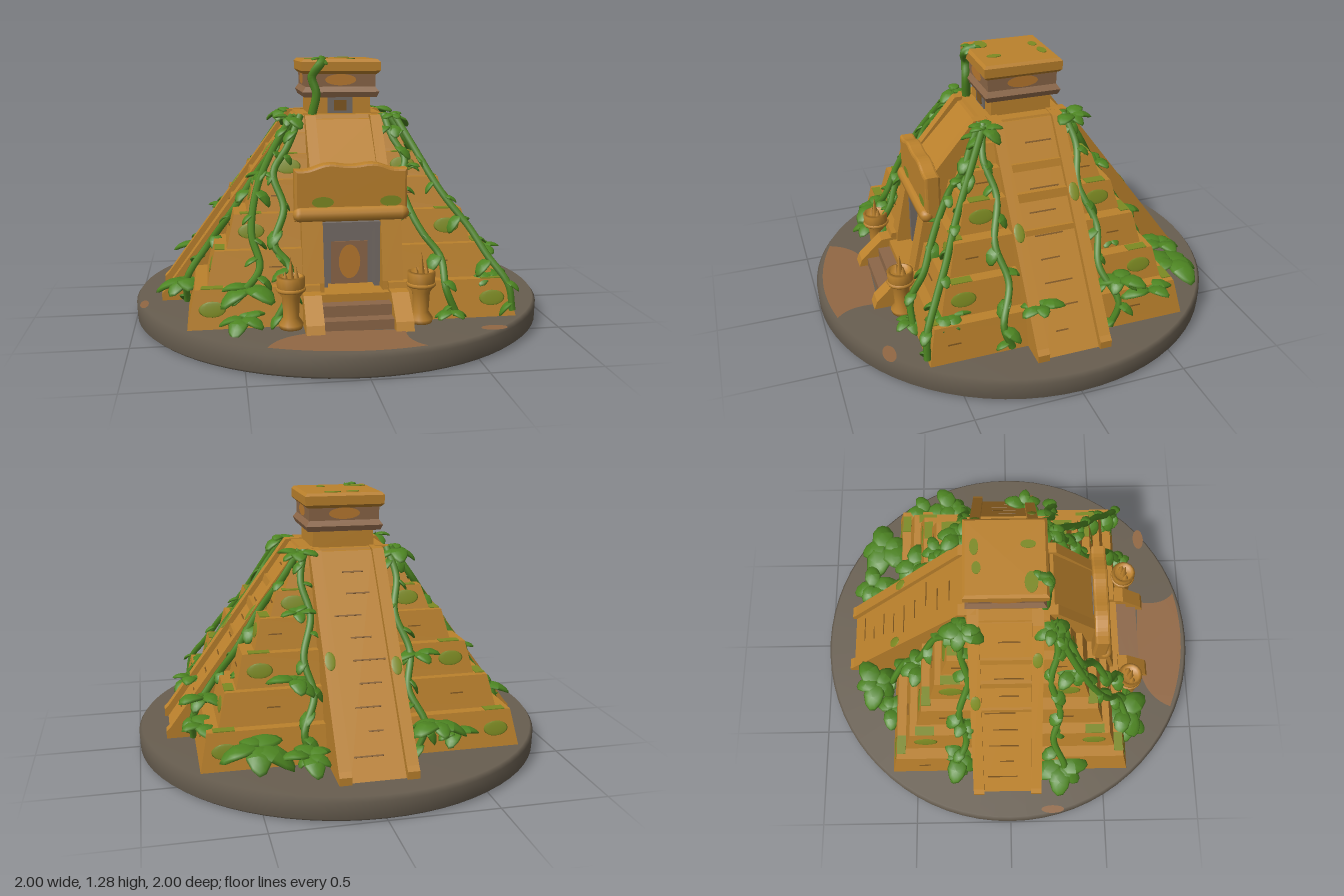
import * as THREE from 'three';

const mat = (name, color, extra = {}) => {
  const m = new THREE.MeshStandardMaterial({ color, ...extra });
  m.name = name;
  return m;
};

export function createModel() {
  const model = new THREE.Group();
  model.name = 'overgrownPyramid';
  const sand = mat('sandstone', 0xbb812c);
  const joint = mat('darkJoint', 0x80571f);
  const ground = mat('groundStone', 0x685e50);
  const clay = mat('clayPath', 0x926844, { side: THREE.DoubleSide });
  const band = mat('mauveStone', 0x8c6748);
  const grey = mat('doorStone', 0x756c66);
  const glow = mat('ochre', 0xb9792f);
  const green = mat('leaf', 0x4d8522);
  const moss = mat('moss', 0x7c8a22);

  const add = (name, geo, m, x = 0, y = 0, z = 0, parent = model) => {
    const mesh = new THREE.Mesh(geo, m);
    mesh.name = name;
    mesh.position.set(x, y, z);
    parent.add(mesh);
    return mesh;
  };
  const box = (name, w, h, d, m, x, y, z, parent) => add(name, new THREE.BoxGeometry(w, h, d), m, x, y, z, parent);
  const poly = pts => new THREE.Shape(pts.map(p => new THREE.Vector2(p[0], p[1])));
  // side profile [outward, up] swept across a width, centred
  const sweep = (pts, width) =>
    new THREE.ExtrudeGeometry(poly(pts), { depth: width, bevelEnabled: false }).translate(0, 0, -width / 2);
  let seed = 7;
  const rnd = () => (seed = (seed * 16807) % 2147483647) / 2147483647;

  // round ground plate with softened rims, a worn path and stains
  const rim = [[0, 0], [0.98, 0], [0.998, 0.015], [1, 0.09], [0.985, 0.11], [0, 0.11]];
  add('groundPlate', new THREE.LatheGeometry(rim.map(p => new THREE.Vector2(...p)), 72), ground);
  const path = new THREE.Shape();
  path.moveTo(-0.41, -0.88);
  path.bezierCurveTo(-0.36, -0.76, -0.25, -0.72, -0.1, -0.72);
  path.lineTo(0.2, -0.74);
  path.quadraticCurveTo(0.17, -0.88, 0.25, -0.945);
  path.quadraticCurveTo(-0.08, -1.02, -0.41, -0.88);
  add('path', new THREE.ShapeGeometry(path).rotateX(-Math.PI / 2), clay, 0, 0.113, 0);
  for (const [x, z, w, d] of [[0.59, 0.77, 0.06, 0.03], [-0.95, 0.22, 0.02, 0.06]])
    add('groundStain', new THREE.CircleGeometry(1, 16).rotateX(-Math.PI / 2).scale(w, 1, d), clay, x, 0.113, z);

  // tapered tiers, notched at the front for the doorway
  const levels = [0.11, 0.28, 0.43, 0.58, 0.72, 0.83, 0.92, 1.0];
  const halfX = [0.73, 0.64, 0.55, 0.455, 0.37, 0.29, 0.23];
  const halfZ = [0.61, 0.53, 0.46, 0.385, 0.32, 0.26, 0.215];
  halfX.forEach((hx, i) => {
    const hz = halfZ[i], h = levels[i + 1] - levels[i], n = 0.16, nz = 0.42;
    const front = hz > nz ? [[-hx, -hz], [-n, -hz], [-n, -nz], [n, -nz], [n, -hz], [hx, -hz]] : [[-hx, -hz], [hx, -hz]];
    const geo = new THREE.ExtrudeGeometry(poly([...front, [hx, hz], [-hx, hz]]), { depth: h, bevelEnabled: false });
    geo.rotateX(-Math.PI / 2);
    const p = geo.attributes.position;
    for (let k = 0; k < p.count; k++) {
      const d = p.getY(k) > h / 2 ? -0.025 : 0.01;
      p.setX(k, p.getX(k) * (1 + d / hx));
      p.setZ(k, p.getZ(k) * (1 + d / hz));
    }
    geo.computeVertexNormals();
    add('tier', geo, sand, 0, levels[i], 0);
  });

  // worn, almost smooth stairways with raised rails on both sides and the back
  const slope = [[0.15, 0.11], [0.853, 0.11], [0.215, 0.99], [0.15, 0.99]];
  const rail = [[0.15, 0.11], [0.87, 0.11], [0.87, 0.145], [0.85, 0.165], [0.235, 1.0], [0.15, 1.005]];
  for (const [angle, z] of [[0, -0.015], [Math.PI, -0.015], [Math.PI / 2, 0]]) {
    const stair = new THREE.Group();
    stair.name = 'stairway';
    stair.rotation.y = angle;
    stair.position.z = z;
    add('stairSlope', sweep(slope, 0.25), sand, 0, 0, 0, stair);
    for (let i = 1; i < 10; i++) {
      const t = i / 10;
      const line = box('stepLine', 0.004, 0.007, 0.06 + rnd() * 0.1, joint, 0.853 - 0.638 * t, 0.11 + 0.88 * t, (rnd() - 0.5) * 0.08, stair);
      line.rotation.z = Math.atan2(0.638, 0.88);
    }
    for (const s of [-1, 1]) {
      add('stairRail', sweep(rail, 0.055), sand, 0, 0, s * 0.15, stair);
      const t = 0.2 + rnd() * 0.65;
      const patch = add('railMoss', new THREE.SphereGeometry(1, 10, 6).scale(0.005, 0.045, 0.026), moss,
        0.85 - 0.615 * t, 0.165 + 0.835 * t, s * 0.15, stair);
      patch.rotation.z = Math.atan2(0.615, 0.835);
    }
    model.add(stair);
  }

  // entrance: ramp above, pillars, wavy lintel and recessed door
  const front = new THREE.Group();
  front.name = 'entrance';
  model.add(front);
  const profile = (name, pts, w, m, x) => {
    const mesh = add(name, sweep(pts, w), m, x, 0, 0, front);
    mesh.rotation.y = -Math.PI / 2;
  };
  profile('upperRamp', [[0.1, 0.11], [0.42, 0.11], [0.42, 0.76], [0.215, 0.98], [0.1, 0.99]], 0.3, sand, 0);
  for (const s of [-1, 1]) {
    profile('rampRail', [[0.1, 0.11], [0.44, 0.11], [0.44, 0.75], [0.23, 1.0], [0.1, 1.0]], 0.05, sand, s * 0.155);
    profile('pillar', [[0.36, 0.11], [0.57, 0.11], [0.56, 0.28], [0.5, 0.56], [0.36, 0.56]], 0.095, sand, s * 0.18);
    profile('stepCheek', [[0.5, 0.11], [0.765, 0.11], [0.75, 0.15], [0.64, 0.25], [0.5, 0.26]], 0.08, sand, s * 0.195);
    box('doorJamb', 0.025, 0.3, 0.05, grey, s * 0.12, 0.39, 0.465, front);
  }
  box('lintelBacking', 0.2, 0.02, 0.02, grey, 0, 0.765, 0.424, front);
  box('doorHead', 0.265, 0.03, 0.05, grey, 0, 0.525, 0.465, front);
  box('doorBack', 0.25, 0.3, 0.01, grey, 0, 0.39, 0.425, front);
  box('doorPanel', 0.17, 0.2, 0.008, band, 0, 0.34, 0.433, front);
  add('doorOval', new THREE.CircleGeometry(1, 24).scale(0.05, 0.08, 1), glow, 0, 0.345, 0.44, front);
  box('threshold', 0.31, 0.13, 0.2, sand, 0, 0.175, 0.5, front);
  box('upperStep', 0.31, 0.095, 0.1, band, 0, 0.157, 0.61, front);
  box('lowerStep', 0.31, 0.045, 0.1, band, 0, 0.132, 0.67, front);
  const lintel = new THREE.Shape();
  lintel.moveTo(-0.245, 0.56);
  lintel.lineTo(0.245, 0.56);
  lintel.lineTo(0.245, 0.77);
  lintel.bezierCurveTo(0.16, 0.76, 0.15, 0.805, 0.07, 0.795);
  lintel.bezierCurveTo(0.02, 0.785, -0.02, 0.785, -0.07, 0.795);
  lintel.bezierCurveTo(-0.15, 0.805, -0.16, 0.76, -0.245, 0.77);
  add('lintel', new THREE.ExtrudeGeometry(lintel, {
    depth: 0.05, bevelThickness: 0.012, bevelSize: 0.012, bevelSegments: 2, curveSegments: 8,
  }), sand, 0, 0, 0.43, front);
  add('lintelRoll', new THREE.CapsuleGeometry(0.035, 0.46, 4, 10).rotateZ(Math.PI / 2), sand, 0, 0.58, 0.485, front);

  // summit shrine: square rings from bottom to top
  const shrine = (name, w0, w1, y0, y1, m) => {
    const g = new THREE.CylinderGeometry(w1 * Math.SQRT2, w0 * Math.SQRT2, y1 - y0, 4, 1).toNonIndexed();
    g.rotateY(Math.PI / 4);
    g.computeVertexNormals();
    add(name, g, m, 0, (y0 + y1) / 2, -0.012);
  };
  shrine('shrineNeck', 0.15, 0.145, 0.99, 1.1, sand);
  shrine('shrineFlare', 0.175, 0.185, 1.08, 1.105, band);
  shrine('shrineBand', 0.185, 0.168, 1.105, 1.13, band);
  shrine('shrineWaist', 0.168, 0.17, 1.13, 1.195, band);
  shrine('roofLip', 0.175, 0.19, 1.19, 1.205, sand);
  shrine('roof', 0.19, 0.19, 1.205, 1.247, sand);
  shrine('roofTop', 0.19, 0.178, 1.247, 1.26, sand);
  box('shrineWindow', 0.12, 0.085, 0.008, grey, 0, 1.045, 0.139);
  box('windowDark', 0.06, 0.05, 0.008, joint, 0, 1.04, 0.145);
  for (let i = 0; i < 4; i++) {
    const a = i * Math.PI / 2;
    const oval = add('shrineOval', new THREE.CircleGeometry(1, 20).scale(0.075, 0.027, 1), glow,
      Math.sin(a) * 0.172, 1.163, -0.012 + Math.cos(a) * 0.172);
    oval.rotation.y = a;
  }

  // braziers with one tall flame among short ones
  const bowl = [[0, 0.11], [0.05, 0.11], [0.055, 0.13], [0.035, 0.16], [0.04, 0.25], [0.06, 0.28], [0.063, 0.34], [0.05, 0.345], [0.045, 0.32], [0, 0.32]];
  for (const s of [-1, 1]) {
    add('brazier', new THREE.LatheGeometry(bowl.map(p => new THREE.Vector2(...p)), 16), sand, s * 0.29, 0, 0.64);
    for (const [dx, dz, h] of [[0, 0, 0.12], [-0.025, 0.01, 0.06], [0.025, -0.01, 0.07]])
      add('flame', new THREE.ConeGeometry(0.02, h, 6), sand, s * 0.29 + dx, 0.31 + h / 2, 0.64 + dz);
    add('brazierRing', new THREE.TorusGeometry(0.057, 0.01, 6, 16).rotateX(Math.PI / 2), sand, s * 0.29, 0.285, 0.64);
  }

  // thin marks lying on the tier faces; face 0 front, 1 left, 2 back, 3 right
  const mark = (name, face, tier, u, w, h, m, round) => {
    const holder = new THREE.Group();
    holder.rotation.y = face * Math.PI / 2;
    const rise = levels[tier + 1] - levels[tier];
    const geo = round ? new THREE.SphereGeometry(0.5, 12, 8) : new THREE.BoxGeometry(1, 1, 1);
    const mesh = add(name, geo.scale(w, h, 0.007), m, u, levels[tier] + rise / 2,
      (face % 2 ? halfX : halfZ)[tier] - 0.0075, holder);
    mesh.rotation.x = -Math.atan(0.035 / rise);
    // matching growth on the ledge above
    if (round) add('ledgeMoss', new THREE.BoxGeometry(w * 0.8, 0.008, 0.045), moss, u, levels[tier + 1],
      (face % 2 ? halfX : halfZ)[tier] - 0.048, holder);
    model.add(holder);
  };
  for (let face = 0; face < 4; face++) {
    for (let t = 0; t < 5; t++) {
      for (const s of [-1, 1]) {
        const edge = (face % 2 ? halfZ : halfX)[t];
        if ((t + face + s) % 2) mark('mossPatch', face, t, s * (edge - 0.1), 0.12, 0.07, moss, true);
        else mark('blockJoint', face, t, s * (0.24 + rnd() * Math.max(0.02, edge - 0.32)), 0.06, 0.006, joint, false);
      }
    }
  }
  for (const [x, z, w, d] of [[-0.12, 0.1, 0.05, 0.03], [0.06, 0.09, 0.02, 0.035], [-0.05, -0.14, 0.03, 0.02], [0.05, -0.15, 0.04, 0.02]])
    add('roofMoss', new THREE.CylinderGeometry(1, 1, 0.004, 14).scale(w, 1, d), moss, x, 1.261, z);
  for (const x of [-0.13, 0.18])
    add('lintelMoss', new THREE.CircleGeometry(1, 14).scale(0.05, 0.025, 1), moss, x, 0.635, 0.494);

  // leaves: flattened pointed ovals growing from their base
  const leafGeo = new THREE.SphereGeometry(1, 9, 6);
  const lp = leafGeo.attributes.position;
  for (let k = 0; k < lp.count; k++) {
    const z = lp.getZ(k);
    lp.setXYZ(k, lp.getX(k) * 0.34 * (1 - 0.25 * z), lp.getY(k) * 0.1 - 0.12 * z * z, (z + 1) / 2);
  }
  leafGeo.computeVertexNormals();
  const leaf = (x, y, z, size, yaw, pitch) => {
    const m = add('leaf', leafGeo, green, x, y, z);
    m.scale.setScalar(size);
    m.rotation.set(pitch, yaw, 0, 'YXZ');
  };
  const cluster = (x, y, z, size, n = 5) => {
    for (let i = 0; i < n; i++) leaf(x, y, z, size * (0.75 + rnd() * 0.4), i * 2 * Math.PI / n + rnd(), rnd() * 0.6 - 0.05);
  };

  // vines follow [across, height] points laid on a face
  const vine = (face, pts) => {
    const a = face * Math.PI / 2;
    const curve = new THREE.CatmullRomCurve3(pts.map(([u, y]) => {
      const d = face % 2 ? Math.min(0.745, 0.735 - (y - 0.26) * 0.7) : Math.min(0.625, 0.615 - (y - 0.26) * 0.555);
      return new THREE.Vector3(u, y, d + 0.003).applyAxisAngle(new THREE.Vector3(0, 1, 0), a);
    }));
    add('vine', new THREE.TubeGeometry(curve, 40, 0.017, 6), green);
    for (let i = 0; i < 9; i++) {
      const p = curve.getPoint((i + 0.5) / 9);
      leaf(p.x, p.y, p.z, 0.07 + rnd() * 0.04, a + (i % 2 ? 1.2 : -1.2) + rnd() - 0.5, 0.4 + rnd() * 0.6);
    }
  };
  vine(0, [[0.2, 1.0], [0.23, 0.9], [0.28, 0.8], [0.25, 0.7], [0.28, 0.58], [0.33, 0.48], [0.4, 0.38], [0.41, 0.25], [0.46, 0.13]]);
  vine(0, [[0.25, 1.0], [0.33, 0.85], [0.41, 0.7], [0.46, 0.62], [0.55, 0.5], [0.62, 0.38], [0.7, 0.26], [0.72, 0.14]]);
  vine(0, [[-0.2, 1.0], [-0.27, 0.86], [-0.34, 0.75], [-0.3, 0.6], [-0.35, 0.45], [-0.29, 0.37], [-0.3, 0.25], [-0.36, 0.13]]);
  vine(0, [[-0.24, 1.0], [-0.35, 0.83], [-0.42, 0.68], [-0.45, 0.5], [-0.42, 0.36], [-0.52, 0.25]]);
  for (const f of [1, 2, 3]) for (const s of [-1, 1])
    vine(f, [[0.2, 1.0], [0.23, 0.87], [0.2, 0.72], [0.25, 0.55], [0.22, 0.4], [0.28, 0.25], [0.24, 0.13]].map(([u, y]) => [u * s, y]));
  const climb = [[-0.14, 1.0, 0.17], [-0.12, 1.1, 0.175], [-0.14, 1.18, 0.17], [-0.1, 1.24, 0.183], [-0.09, 1.258, 0.13]];
  add('shrineVine', new THREE.TubeGeometry(new THREE.CatmullRomCurve3(climb.map(p => new THREE.Vector3(...p))), 24, 0.022, 6), green);
  cluster(-0.1, 1.265, 0.15, 0.06, 4);

  // leaf clumps on the ledges, around the summit and at ground level
  for (const [x, y, z, s] of [
    [-0.25, 1.0, 0.2, 0.1], [0.25, 1.0, 0.2, 0.1], [-0.25, 1.0, -0.22, 0.12], [0.23, 1.0, -0.23, 0.12],
    [0.29, 0.78, 0.33, 0.09], [-0.38, 0.75, 0.3, 0.1], [-0.47, 0.3, 0.6, 0.15], [-0.5, 0.17, 0.63, 0.12],
    [0.43, 0.16, 0.64, 0.1], [0.62, 0.3, 0.5, 0.12], [0.73, 0.32, 0.1, 0.12], [-0.75, 0.25, 0.26, 0.17],
    [-0.7, 0.3, -0.26, 0.13], [-0.3, 0.3, -0.7, 0.16], [-0.42, 0.22, -0.63, 0.12], [0.28, 0.22, -0.75, 0.14],
    [0.5, 0.26, -0.69, 0.18], [0.71, 0.28, -0.45, 0.15], [0.7, 0.36, -0.3, 0.13], [0.3, 0.48, -0.5, 0.13],
    [-0.28, 0.55, -0.45, 0.12], [0.5, 0.47, -0.33, 0.1], [-0.55, 0.5, -0.22, 0.1], [0.26, 0.75, -0.36, 0.1],
  ]) cluster(x, y, z, s);

  return model;
}
